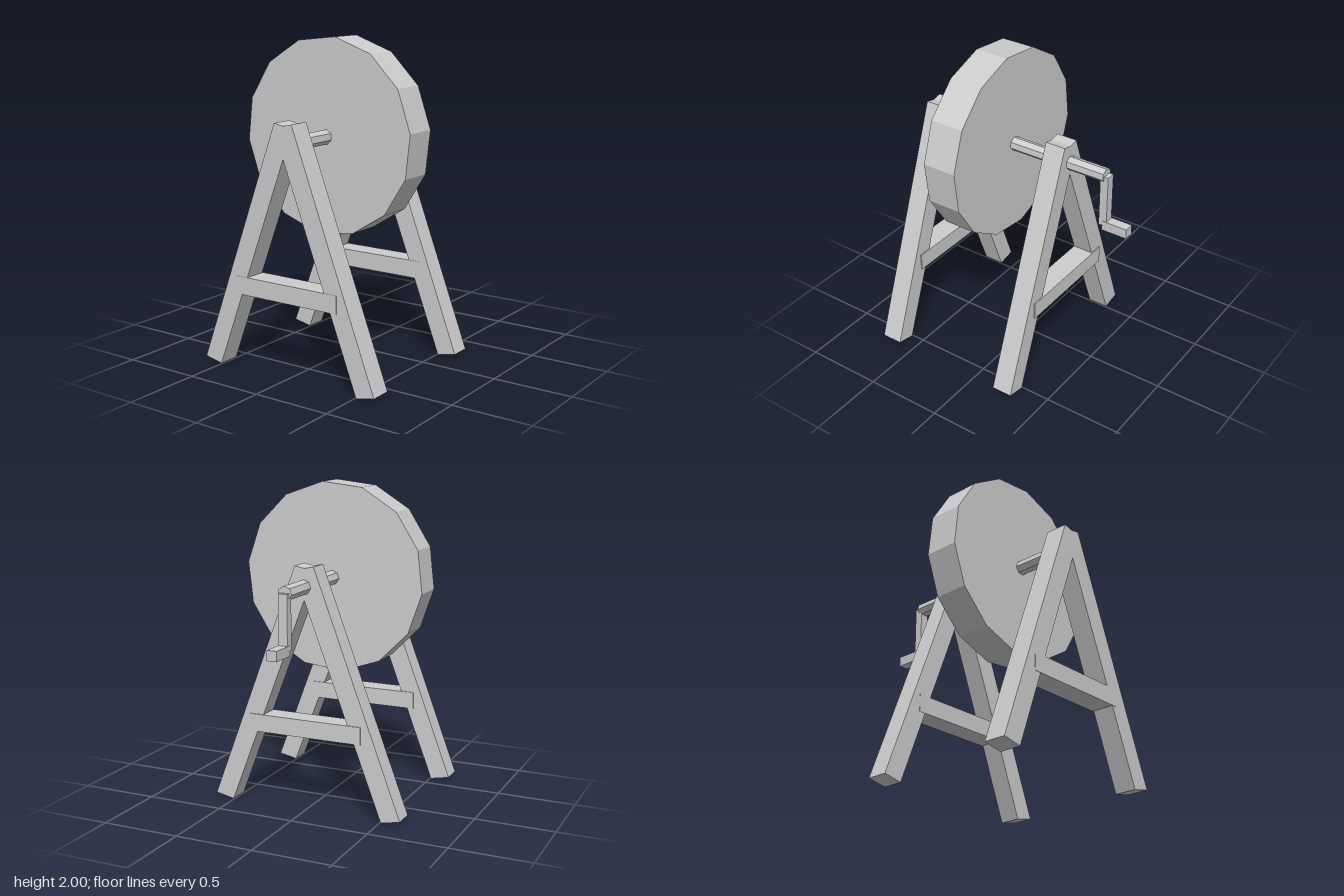
import * as THREE from 'three';

const stone = new THREE.MeshStandardMaterial({ color: 0xcccccc });
stone.name = 'plain grey';

const AXLE_Y = 1.405;

export function createModel() {
  const model = new THREE.Group();
  model.name = 'grindstone';

  const add = (name, geometry, parent = model) => {
    const mesh = new THREE.Mesh(geometry, stone);
    mesh.name = name;
    parent.add(mesh);
    return mesh;
  };

  const box = (name, [x0, x1], [y0, y1], [z0, z1], parent) =>
    add(name, new THREE.BoxGeometry(x1 - x0, y1 - y0, z1 - z0)
      .translate((x0 + x1) / 2, (y0 + y1) / 2, (z0 + z1) / 2), parent);

  // Faceted cylinder along x; its first corner leans slightly forward of the top
  const prism = (name, radius, sides, x0, x1) => {
    const start = THREE.MathUtils.degToRad(6.6) - Math.PI / 2;
    const geometry = new THREE.CylinderGeometry(radius, radius, x1 - x0, sides, 1, false, start)
      .rotateZ(-Math.PI / 2)
      .translate((x0 + x1) / 2, AXLE_Y, 0)
      .toNonIndexed();
    geometry.computeVertexNormals();
    return add(name, geometry);
  };

  // Slanted leg: side outline in (z, y), given thickness along x
  const leg = (name, side, x0, x1, parent) => {
    const outline = [[0.63, 0.025], [0.507, 0], [-0.068, 1.503], [0.062, 1.53]];
    const shape = new THREE.Shape(outline.map(([z, y]) => new THREE.Vector2(-z * side, y)));
    const geometry = new THREE.ExtrudeGeometry(shape, { depth: x1 - x0, bevelEnabled: false })
      .rotateY(Math.PI / 2)
      .translate(x0, 0, 0);
    add(name, geometry, parent);
  };

  // Two A-frames with a crossbar each
  for (const [name, x0, x1] of [['rightFrame', -0.728, -0.59], ['leftFrame', 0.172, 0.306]]) {
    const frame = new THREE.Group();
    frame.name = name;
    model.add(frame);
    leg('frontLeg', 1, x0, x1, frame);
    leg('backLeg', -1, x0, x1, frame);
    box('crossbar', [x0 - 0.002, x1 + 0.007], [0.472, 0.583], [-0.372, 0.372], frame);
  }

  // Wheel and axle
  prism('wheel', 0.6, 14, -0.32, -0.1);
  prism('axle', 0.045, 7, -0.66, 0.56);

  // Crank
  box('crankArm', [0.535, 0.588], [1.07, 1.408], [-0.029, 0.029]);
  box('crankHandle', [0.56, 0.728], [1.04, 1.103], [-0.032, 0.032]);

  return model;
}
